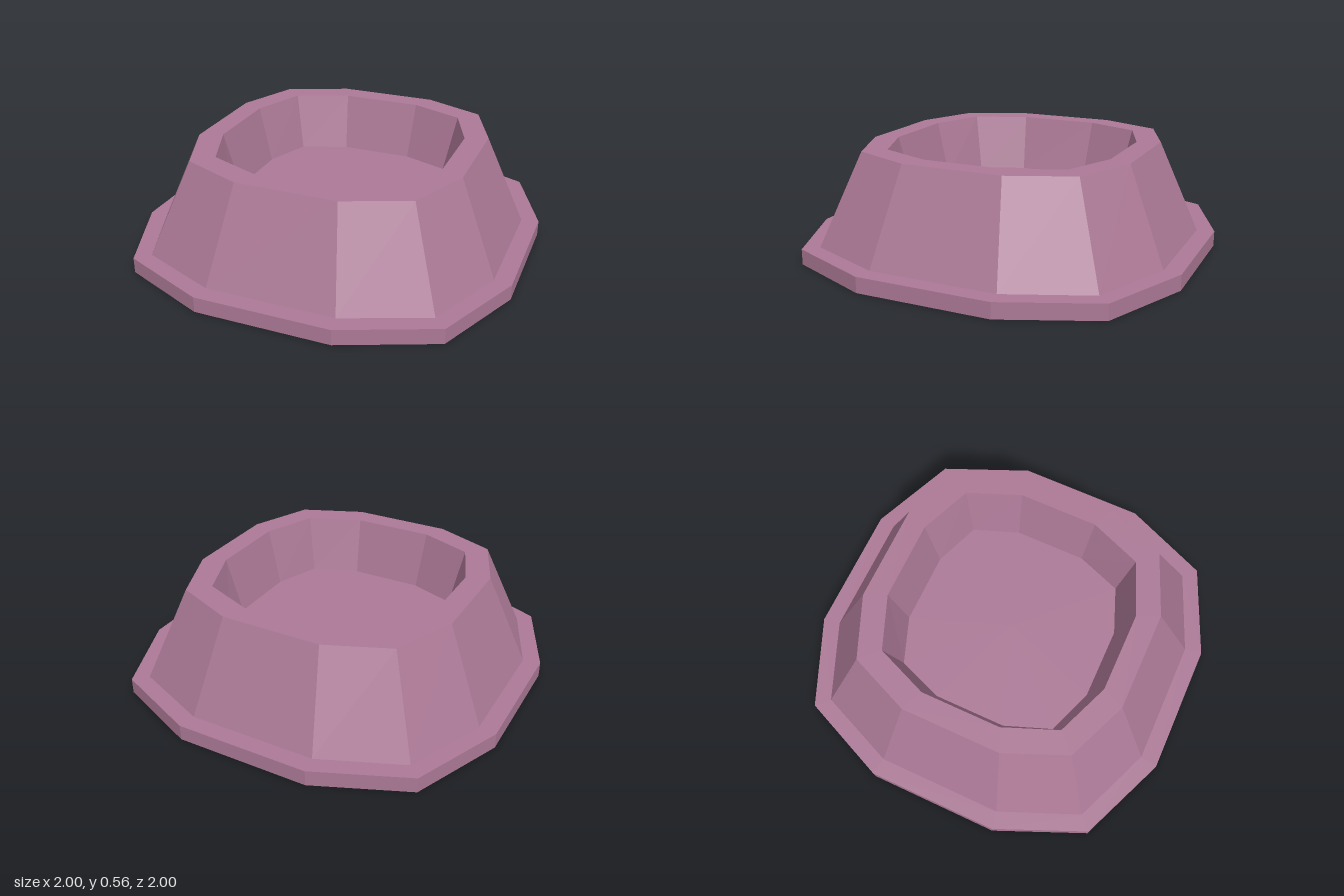
import * as THREE from 'three';

// Twelve-sided ring: flat sides at r (half width s), corner points at (d, d)
function ring(y, r, s, d) {
  const points = [];
  let quarter = [[r, s], [d, d], [s, r]];
  for (let q = 0; q < 4; q++) {
    for (const [x, z] of quarter) points.push(new THREE.Vector3(x, y, z));
    quarter = quarter.map(([x, z]) => [-z, x]);
  }
  return points;
}

// Skin consecutive rings with flat facets
function loft(name, rings, material) {
  const corners = [];
  const triangle = (a, b, c) => {
    if (!a.equals(b) && !b.equals(c) && !c.equals(a)) corners.push(a, b, c);
  };
  for (let k = 0; k < rings.length - 1; k++) {
    const lower = rings[k], upper = rings[k + 1];
    for (let i = 0; i < lower.length; i++) {
      const j = (i + 1) % lower.length;
      triangle(lower[i], upper[i], lower[j]);
      triangle(lower[j], upper[i], upper[j]);
    }
  }
  const geometry = new THREE.BufferGeometry().setFromPoints(corners);
  geometry.computeVertexNormals();
  const mesh = new THREE.Mesh(geometry, material);
  mesh.name = name;
  return mesh;
}

export function createModel() {
  const model = new THREE.Group();
  model.name = 'basinPedestal';
  const mauve = new THREE.MeshStandardMaterial({ color: 0xac7996, flatShading: true });
  mauve.name = 'mauve';

  const center = (y) => Array.from({ length: 12 }, () => new THREE.Vector3(0, y, 0));
  const wallFoot = ring(0.08, 0.91, 0.33, 0.74);
  const wallTop = ring(0.555, 0.71, 0.26, 0.578);
  const rimInner = ring(0.555, 0.595, 0.21, 0.485);
  const floorEdge = ring(0.26, 0.52, 0.19, 0.43);

  // Base plate with closed underside and narrow ledge
  const plate = [center(0), ring(0, 1, 0.345, 0.805), ring(0.08, 1, 0.345, 0.805), wallFoot];
  model.add(loft('basePlate', plate, mauve));
  // Tapered outer wall
  model.add(loft('outerWall', [wallFoot, wallTop], mauve));
  // Flat rim around the opening
  model.add(loft('rim', [wallTop, rimInner], mauve));
  // Recessed bowl: sloping inner wall and flat floor
  model.add(loft('recess', [rimInner, floorEdge, center(0.26)], mauve));

  return model;
}
